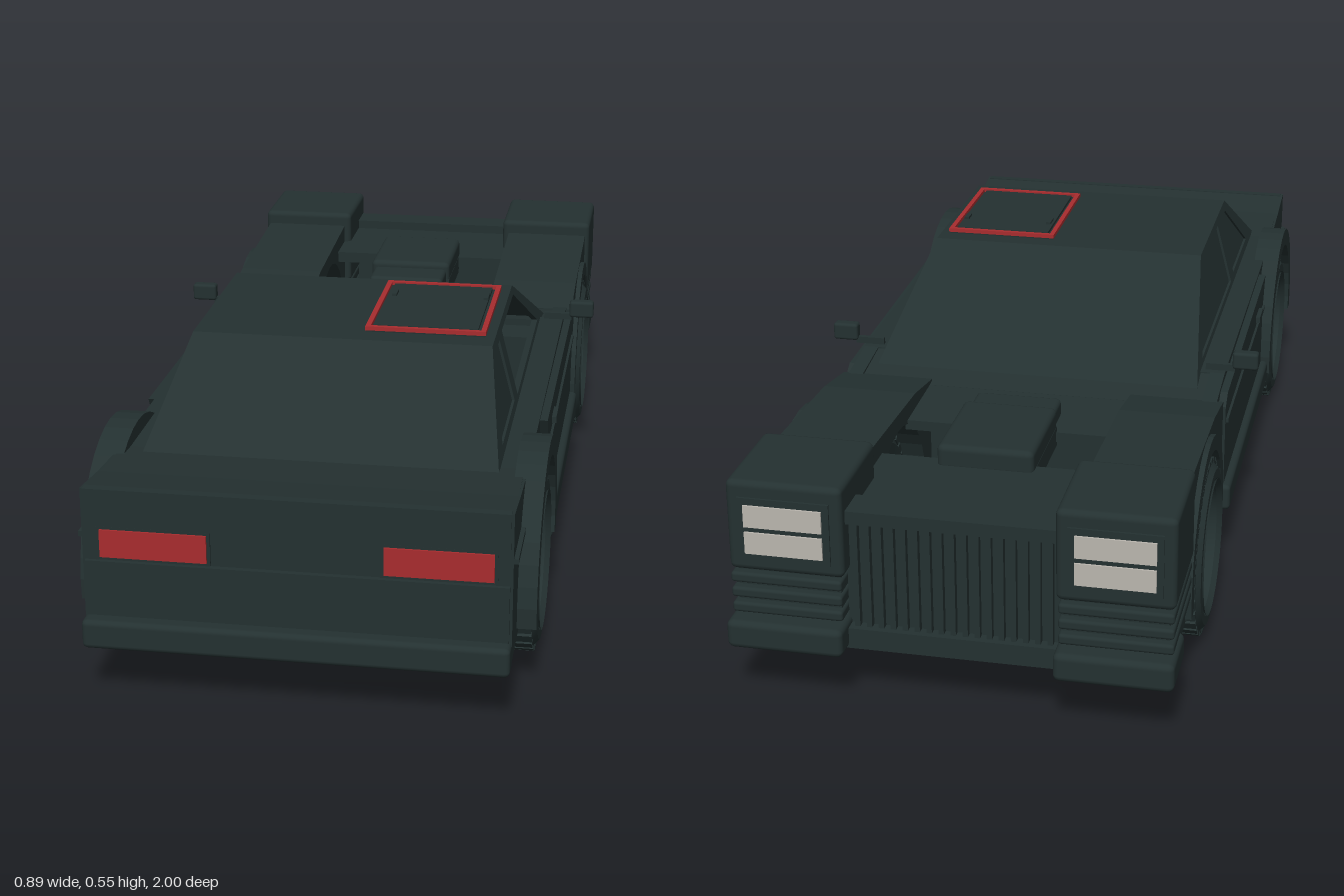
import * as THREE from 'three';
import { mergeGeometries, toCreasedNormals } from 'three/addons/utils/BufferGeometryUtils.js';
import { RoundedBoxGeometry } from 'three/addons/geometries/RoundedBoxGeometry.js';

const mat = (name, color, side = THREE.FrontSide) => {
  const m = new THREE.MeshStandardMaterial({ color, side });
  m.name = name;
  return m;
};

export function createModel() {
  const car = new THREE.Group();
  car.name = 'car';
  const dark = mat('darkBody', 0x243131, THREE.DoubleSide);
  const red = mat('red', 0xa82c2e);
  const lampGlass = mat('lampGlass', 0xbab6ae);

  const add = (name, geo, m = dark, parent = car) => {
    const mesh = new THREE.Mesh(geo, m);
    mesh.name = name;
    parent.add(mesh);
    return mesh;
  };
  // box from min and max corners, optionally rounded
  const box = (name, x0, x1, y0, y1, z0, z1, r = 0, m = dark, parent = car) => {
    const s = [x1 - x0, y1 - y0, z1 - z0];
    const g = r ? new RoundedBoxGeometry(...s, 2, r) : new THREE.BoxGeometry(...s);
    g.translate((x0 + x1) / 2, (y0 + y1) / 2, (z0 + z1) / 2);
    return add(name, g, m, parent);
  };
  // (z, y) outline extruded across x0..x1
  const sideExtrude = (pts, x0, x1, holes = []) => {
    const v = (a) => a.map(([z, y]) => new THREE.Vector2(z, y));
    const shape = new THREE.Shape(v(pts));
    holes.forEach((h) => shape.holes.push(new THREE.Path(v(h))));
    const g = new THREE.ExtrudeGeometry(shape, { depth: x1 - x0, bevelEnabled: false });
    return g.rotateY(-Math.PI / 2).translate(x1, 0, 0);
  };
  // outline across both mirrored sides
  const both = (name, pts, x0, x1) => {
    add(name + 'Left', sideExtrude(pts, x0, x1));
    add(name + 'Right', sideExtrude(pts, -x1, -x0));
  };
  const mirrorBox = (name, x0, x1, ...rest) => {
    box(name + 'Left', x0, x1, ...rest);
    box(name + 'Right', -x1, -x0, ...rest);
  };
  // points of an arch opening, from low z to high z, ending at y
  const arch = (cz, cy, r, y, n = 20) => {
    const a0 = Math.asin((y - cy) / r), pts = [];
    for (let i = 0; i <= n; i++) {
      const a = Math.PI - a0 - (i / n) * (Math.PI - 2 * a0);
      pts.push([cz + Math.cos(a) * r, cy + Math.sin(a) * r]);
    }
    return pts;
  };

  // body sides with open rear arches
  const rearArch = arch(0.625, 0.165, 0.197, 0.12);
  both('bodySide', [[-0.31, 0.12], ...rearArch, [0.965, 0.12], [0.965, 0.4], [0.85, 0.385],
    [0.73, 0.375], [-0.18, 0.375], [-0.31, 0.36]], 0.35, 0.38);
  both('doorSkin', [[-0.27, 0.12], [0.4, 0.12], [0.4, 0.3], [0.44, 0.37], [-0.24, 0.36], [-0.27, 0.34]], 0.38, 0.395);
  mirrorBox('sideSkirt', 0.38, 0.41, 0.115, 0.17, -0.28, 0.425, 0.01);
  mirrorBox('sideTrim', 0.378, 0.388, 0.305, 0.315, 0.82, 0.96);
  mirrorBox('doorTrim', 0.39, 0.4, 0.303, 0.311, -0.26, 0.4);
  mirrorBox('doorHandle', 0.39, 0.404, 0.32, 0.333, 0.26, 0.32);

  // wheel arch flares
  const flare = (cz, cy, r0, r1, y) => [...arch(cz, cy, r1, y), ...arch(cz, cy, r0, y).reverse()];
  both('rearFlare', flare(0.64, 0.17, 0.197, 0.235, 0.14), 0.36, 0.415);
  both('frontFlare', flare(-0.55, 0.165, 0.19, 0.22, 0.13), 0.38, 0.402);

  // front fenders
  both('frontFender', [[-0.76, 0.12], ...arch(-0.55, 0.165, 0.19, 0.12), [-0.29, 0.12],
    [-0.29, 0.36], [-0.42, 0.382], [-0.76, 0.4]], 0.205, 0.392);

  // floor, stepped in around the rear wheels
  box('floor', -0.37, 0.37, 0.108, 0.125, -0.31, 0.44);
  box('rearFloor', -0.22, 0.22, 0.108, 0.125, 0.44, 0.83);
  box('tailFloor', -0.37, 0.37, 0.108, 0.125, 0.83, 0.96);
  box('firewall', -0.36, 0.36, 0.12, 0.35, -0.31, -0.295);
  box('underPipe', 0.1, 0.115, 0.098, 0.108, -0.2, 0.3);
  box('underBracket', 0.075, 0.085, 0.085, 0.11, 0.34, 0.36);
  box('underBlock', 0.14, 0.17, 0.095, 0.11, 0.33, 0.39);

  // deck, cowl and shoulders
  const deck = [[0.965, 0.4], [0.85, 0.385], [0.7, 0.375], [0.7, 0.36], [0.85, 0.37], [0.965, 0.385]];
  add('trunkDeck', sideExtrude(deck, -0.375, 0.375));
  add('cowl', sideExtrude([[-0.16, 0.375], [-0.31, 0.355], [-0.31, 0.34], [-0.16, 0.36]], -0.37, 0.37));
  mirrorBox('shoulder', 0.32, 0.37, 0.36, 0.375, -0.18, 0.74);

  // cabin: sides lean inward with height
  const lean = (g) => {
    const p = g.attributes.position;
    for (let i = 0; i < p.count; i++) {
      const x = p.getX(i);
      p.setX(i, x - Math.sign(x) * (p.getY(i) - 0.375) * 0.26);
    }
    g.computeVertexNormals();
    return g;
  };
  const cabinSide = [[-0.22, 0.37], [0.74, 0.37], [0.48, 0.53], [0.09, 0.53]];
  const doorWindow = [[-0.13, 0.385], [0.34, 0.385], [0.34, 0.515], [0.105, 0.515]];
  const quarter = [[0.39, 0.39], [0.63, 0.39], [0.46, 0.512], [0.39, 0.512]];
  add('cabinSideLeft', lean(sideExtrude(cabinSide, 0.318, 0.33, [doorWindow, quarter])));
  add('cabinSideRight', lean(sideExtrude(cabinSide, -0.33, -0.318, [doorWindow, quarter])));
  add('quarterWindowLeft', lean(sideExtrude(quarter, 0.318, 0.325)));
  add('quarterWindowRight', lean(sideExtrude(quarter, -0.325, -0.318)));
  add('doorWindowRight', lean(sideExtrude(doorWindow, -0.325, -0.318)));
  // sloping glass tapers with the cabin
  const taper = (pts) => {
    const g = sideExtrude(pts, -0.33, 0.33);
    return lean(g);
  };
  add('rearWindow', taper([[0.74, 0.37], [0.48, 0.53], [0.48, 0.518], [0.72, 0.37]]));
  add('windshield', taper([[-0.25, 0.36], [0.09, 0.53], [0.09, 0.518], [-0.22, 0.36]]));
  add('roof', taper([[0.48, 0.518], [0.48, 0.53], [0.09, 0.53], [0.09, 0.518]]));

  // roof hatch with red border
  box('hatchBase', 0.04, 0.27, 0.528, 0.534, 0.13, 0.43);
  box('hatchPanel', 0.055, 0.255, 0.532, 0.54, 0.145, 0.415);
  for (const x of [0.038, 0.262]) box('hatchBorder', x, x + 0.01, 0.533, 0.541, 0.128, 0.432, 0, red);
  for (const z of [0.128, 0.422]) box('hatchBorder', 0.048, 0.262, 0.533, 0.541, z, z + 0.01, 0, red);
  for (const x of [0.06, 0.245]) box('hatchHinge', x, x + 0.01, 0.53, 0.545, 0.2, 0.23);

  // interior
  box('dashboard', -0.31, 0.31, 0.27, 0.36, -0.2, -0.08);
  for (const x of [-0.15, 0.15]) {
    box('seatCushion', x - 0.09, x + 0.09, 0.125, 0.21, 0.02, 0.22, 0.02);
    box('seatBack', x - 0.09, x + 0.09, 0.18, 0.41, 0.2, 0.26, 0.02);
    const head = add('headrest', new RoundedBoxGeometry(0.1, 0.075, 0.04, 2, 0.012));
    head.position.set(x, 0.445, 0.23);
    head.rotation.x = 0.2;
  }

  // tail panel, lights and bumper
  box('tailLower', -0.375, 0.375, 0.12, 0.265, 0.95, 0.972);
  box('tailUpper', -0.375, 0.375, 0.33, 0.4, 0.95, 0.968);
  box('tailStrip', -0.375, 0.375, 0.265, 0.33, 0.94, 0.962);
  for (const s of [-1, 1]) {
    box('tailLightFrame', s * 0.252 - 0.102, s * 0.252 + 0.102, 0.266, 0.329, 0.955, 0.966);
    box('tailLight', s * 0.252 - 0.096, s * 0.252 + 0.096, 0.272, 0.324, 0.962, 0.97, 0, red);
  }
  box('rearBumper', -0.38, 0.38, 0.105, 0.16, 0.955, 1, 0.01);

  // headlight pods, ribbed below, with bumper blocks
  mirrorBox('headlightPod', 0.19, 0.402, 0.255, 0.43, -0.97, -0.755, 0.012);
  mirrorBox('podLower', 0.2, 0.39, 0.12, 0.26, -0.955, -0.74);
  for (const y of [0.17, 0.2, 0.23]) mirrorBox('podRib', 0.195, 0.4, y, y + 0.02, -0.972, -0.76, 0.006);
  mirrorBox('headlightFrame', 0.212, 0.38, 0.28, 0.4, -0.974, -0.96);
  for (const y of [0.293, 0.345]) mirrorBox('headlight', 0.225, 0.368, y, y + 0.042, -0.978, -0.97, 0, lampGlass);
  mirrorBox('frontBumperBlock', 0.19, 0.405, 0.11, 0.165, -1, -0.87, 0.012);
  box('frontBumperBar', -0.2, 0.2, 0.11, 0.15, -0.955, -0.87);

  // ribbed grille
  box('grillePanel', -0.195, 0.195, 0.14, 0.37, -0.93, -0.91);
  box('grilleTop', -0.195, 0.195, 0.355, 0.38, -0.95, -0.88);
  for (let i = -8; i <= 8; i++) box('grilleRib', i * 0.022 - 0.005, i * 0.022 + 0.005, 0.15, 0.355, -0.944, -0.925);

  // sunken bonnet with two openings and a central scoop
  box('bonnetFront', -0.21, 0.21, 0.335, 0.36, -0.89, -0.66);
  box('bonnetMiddle', -0.092, 0.092, 0.32, 0.36, -0.67, -0.47);
  add('bonnetRear', sideExtrude([[-0.3, 0.355], [-0.48, 0.35], [-0.48, 0.33], [-0.3, 0.335]], -0.21, 0.21));
  box('scoop', -0.092, 0.092, 0.35, 0.4, -0.69, -0.47, 0.012);
  box('scoopRear', -0.085, 0.085, 0.345, 0.385, -0.48, -0.39, 0.01);

  // wing mirrors
  mirrorBox('mirror', 0.395, 0.447, 0.385, 0.421, -0.18, -0.155, 0.006);
  mirrorBox('mirrorStem', 0.34, 0.4, 0.378, 0.392, -0.172, -0.162);

  // wheels: tyre, tread, rim and spokes, outer side towards +x
  const v2 = (a) => a.map(([r, h]) => new THREE.Vector2(r, h));
  const lathe = (pts) => toCreasedNormals(
    new THREE.LatheGeometry(v2(pts), 40).rotateZ(-Math.PI / 2), 0.6);
  const tyre = lathe([[0.118, -0.085], [0.145, -0.087], [0.163, -0.075], [0.164, 0.075],
    [0.15, 0.087], [0.132, 0.087], [0.126, 0.075], [0.118, 0.05], [0.118, -0.085]]);
  const rim = lathe([[0.0, 0.02], [0.1, 0.02], [0.116, 0.04], [0.122, 0.08], [0.132, 0.09]]);
  const blocks = [];
  for (let i = 0; i < 36; i++) {
    for (const s of [-1, 1]) {
      blocks.push(new THREE.BoxGeometry(0.075, 0.01, 0.021).translate(s * 0.041, 0.166, 0)
        .rotateX(((i + (s > 0 ? 0.5 : 0)) / 36) * Math.PI * 2));
    }
  }
  const tread = mergeGeometries(blocks);
  const spokes = mergeGeometries([0, 1, 2, 3, 4].flatMap((i) => [-1, 1].map((s) =>
    new THREE.BoxGeometry(0.025, 0.1, 0.013).translate(0.04, 0.07, s * 0.013)
      .rotateX((i / 5) * Math.PI * 2))));
  const hub = new THREE.CylinderGeometry(0.03, 0.036, 0.05, 20).rotateZ(-Math.PI / 2).translate(0.04, 0, 0);
  for (const [z, label] of [[0.64, 'rear'], [-0.55, 'front']]) {
    for (const s of [-1, 1]) {
      const wheel = new THREE.Group();
      wheel.name = label + 'Wheel' + (s > 0 ? 'Left' : 'Right');
      add('tyre', tyre, dark, wheel);
      add('tread', tread, dark, wheel);
      add('rim', rim, dark, wheel);
      add('spokes', spokes, dark, wheel);
      add('hub', hub, dark, wheel);
      wheel.position.set(s * 0.322, 0.171, z);
      if (s < 0) wheel.rotation.y = Math.PI;
      car.add(wheel);
    }
  }
  return car;
}
